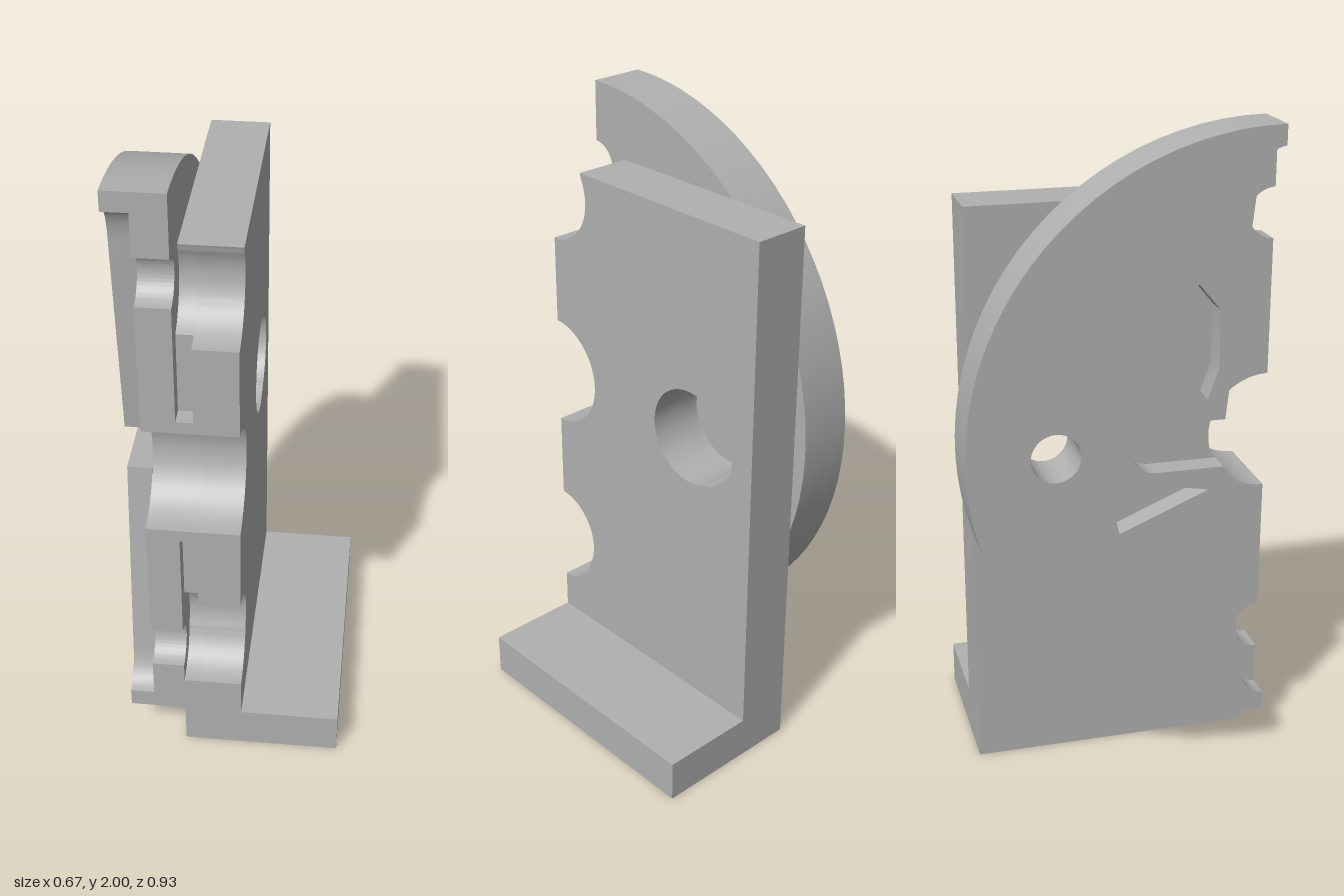
import * as THREE from 'three';
import { toCreasedNormals } from 'three/addons/utils/BufferGeometryUtils.js';

const FRONT = 0.465, MID = 1.07; // cut plane z and disc centre height
const rad = THREE.MathUtils.degToRad;
const pt = (z, y) => new THREE.Vector2(z, y);

// Points of an arc in the z-y plane, angles in degrees
function arc(z, y, r, a0, a1) {
  const n = Math.max(6, Math.ceil(Math.abs(a1 - a0) / 4));
  return Array.from({ length: n + 1 }, (_, i) => {
    const a = rad(a0 + (a1 - a0) * i / n);
    return pt(z + r * Math.cos(a), y + r * Math.sin(a));
  });
}

// Half-round notch in the front edge, walked upwards
const notch = (y, r) => arc(FRONT, y, r, 270, 90);

const curve = (a, b, c) => new THREE.QuadraticBezierCurve(a, b, c).getPoints(12);

export function createModel() {
  const group = new THREE.Group();
  const grey = new THREE.MeshStandardMaterial({ color: 0xb0b0b0 });
  grey.name = 'grey';

  // Extrude a z-y outline between two x positions
  function layer(name, outline, holes, x0, x1) {
    const shape = new THREE.Shape(outline);
    shape.holes = holes.map((h) => new THREE.Path(h));
    const geo = new THREE.ExtrudeGeometry(shape, { depth: x1 - x0, bevelEnabled: false });
    geo.rotateY(-Math.PI / 2).translate(x1, 0, 0);
    const mesh = new THREE.Mesh(toCreasedNormals(geo, rad(25)), grey);
    mesh.name = name;
    group.add(mesh);
  }

  // Upright plate: two layers, the rear one with narrow front slots
  const counterbore = [
    ...arc(-0.155, MID, 0.155, 242.4, 477.6),
    ...arc(-0.2, MID, 0.14, 102, 257),
  ];
  function plateOutline(slotted) {
    return [
      pt(-0.42, 0), pt(FRONT, 0),
      ...arc(FRONT, 0.405, 0.14, 270, 191),
      ...arc(FRONT, 0.45, 0.155, 207, slotted ? 110.8 : 90),
      ...(slotted ? [pt(0.41, 0.85), pt(FRONT, 0.85)] : []),
      ...notch(MID, 0.18),
      ...(slotted ? [pt(FRONT, 1.29), pt(0.41, 1.29)] : []),
      ...arc(FRONT, 1.69, 0.155, slotted ? 249.2 : 270, 152.4),
      ...arc(FRONT, 1.735, 0.14, 168, 161.3),
      pt(-0.42, 1.78),
    ];
  }
  layer('uprightPlate', plateOutline(false), [counterbore], -0.11, 0.02);
  layer('slottedPlate', plateOutline(true), [counterbore], -0.16, -0.11);

  // Foot
  const foot = new THREE.Mesh(new THREE.BoxGeometry(0.31, 0.137, 0.885), grey);
  foot.position.set(0.175, 0.0685, 0.0225);
  foot.name = 'foot';
  group.add(foot);

  // Half disc with its bolt holes
  const rim = arc(FRONT, MID, 0.93, 90, 270);
  const boltHole = arc(-0.2, MID, 0.075, 0, 356);
  layer('halfDisc', [
    ...rim, ...notch(0.405, 0.075), ...notch(MID, 0.18), ...notch(1.735, 0.075),
  ], [boltHole], -0.26, -0.16);

  // Rear disc layer: recessed front edge, rounded slot and two pockets
  const upperPocket = [
    pt(0.286, 1.48), pt(0.22, 1.56), pt(0.086, 1.44), pt(0.254, 1.21), pt(0.286, 1.3),
  ];
  const lowerPocket = [pt(-0.05, 1.0), pt(-0.01, 0.81), pt(0.265, 0.925), pt(0.02, 0.97)];
  layer('rearDisc', [
    ...rim,
    ...curve(pt(FRONT, 0.2), pt(0.385, 0.21), pt(0.38, 0.34)),
    pt(0.31, MID - 0.075),
    ...arc(0.1, MID, 0.075, 270, 90),
    pt(0.31, MID + 0.075),
    ...curve(pt(0.38, 1.8), pt(0.385, 1.93), pt(FRONT, 1.94)),
  ], [boltHole, upperPocket, lowerPocket], -0.335, -0.26);

  return group;
}
